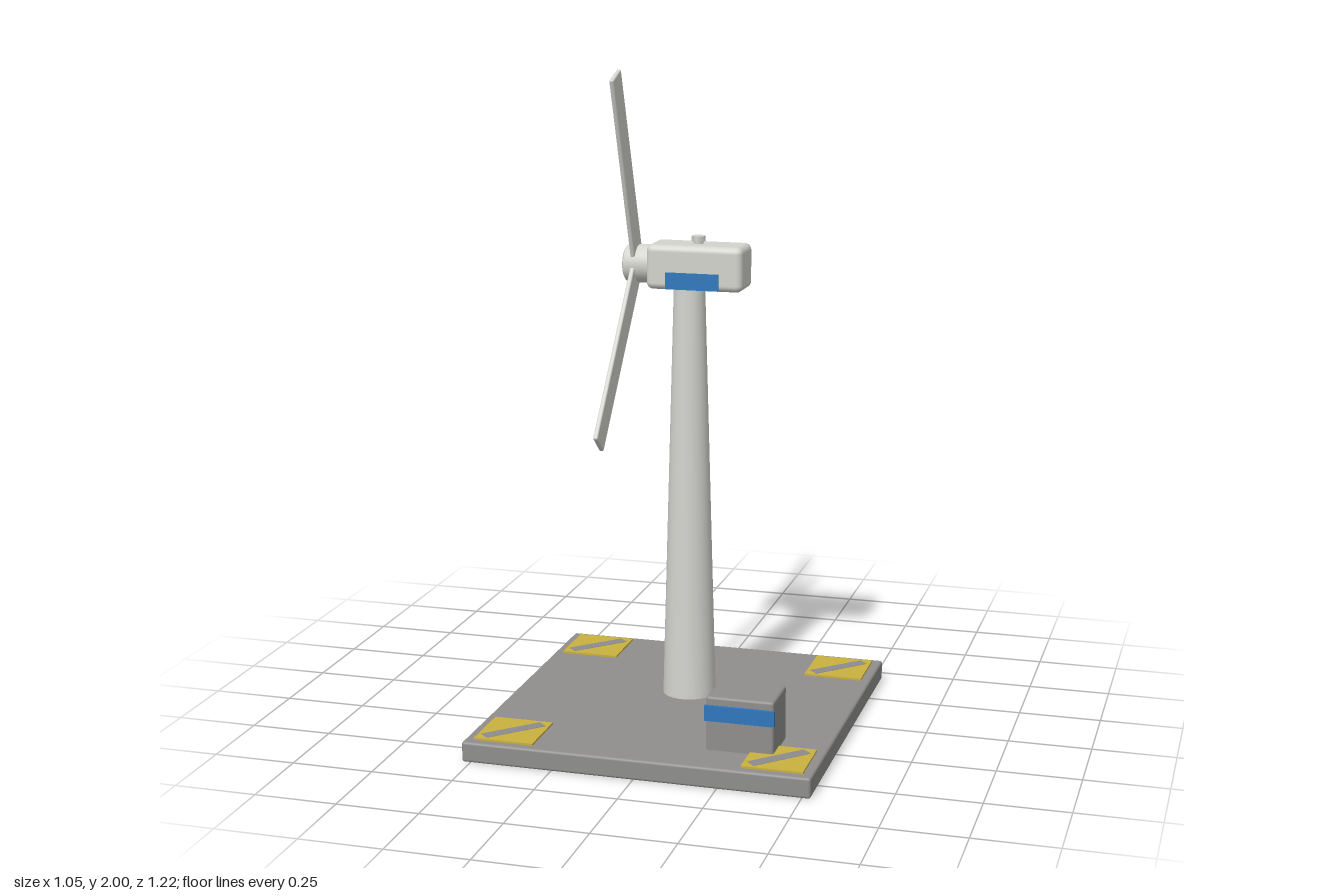
import * as THREE from 'three';
import { RoundedBoxGeometry } from 'three/addons/geometries/RoundedBoxGeometry.js';
import { toCreasedNormals } from 'three/addons/utils/BufferGeometryUtils.js';

const material = (name, color) => {
  const m = new THREE.MeshStandardMaterial({ color });
  m.name = name;
  return m;
};

export function createModel() {
  const white = material('offWhite', 0xd3d4ce);
  const grey = material('concreteGrey', 0x8f8e8c);
  const stripeGrey = material('stripeGrey', 0x8c8c90);
  const yellow = material('yellow', 0xc9b03e);
  const blue = material('blue', 0x2f78bd);

  const model = new THREE.Group();
  model.name = 'windTurbine';

  const add = (name, geometry, mat, x, y, z, parent = model) => {
    const mesh = new THREE.Mesh(geometry, mat);
    mesh.name = name;
    mesh.position.set(x, y, z);
    parent.add(mesh);
    return mesh;
  };
  const rounded = (w, h, d, r) => new RoundedBoxGeometry(w, h, d, 3, r);
  const turned = (points, sides) => toCreasedNormals(
    new THREE.LatheGeometry(points.map(([r, y]) => new THREE.Vector2(r, y)), sides), 0.6);

  // Base slab
  const baseZ = 0.081;
  add('base', rounded(1.052, 0.062, 1.052, 0.008), grey, 0, 0.031, baseZ);

  // Corner pads, each with a diagonal stripe
  for (const sx of [-1, 1]) {
    for (const sz of [-1, 1]) {
      const pad = new THREE.Group();
      pad.name = 'cornerPad';
      pad.position.set(sx * 0.406, 0.062, baseZ + sz * 0.407);
      add('padPlate', new THREE.BoxGeometry(0.183, 0.008, 0.183), yellow, 0, 0.002, 0, pad);
      const stripe = add('padStripe', new THREE.BoxGeometry(0.192, 0.002, 0.037), stripeGrey, 0, 0.006, 0, pad);
      stripe.rotation.y = Math.PI / 4;
      model.add(pad);
    }
  }

  // Tapered tower
  add('tower', new THREE.CylinderGeometry(0.047, 0.082, 1.3, 32), white, 0, 0.71, 0);

  // Nacelle with side plates and roof sensor
  const hubY = 1.408;
  add('nacelle', rounded(0.297, 0.135, 0.135, 0.02), white, 0.03, hubY, 0);
  for (const s of [-1, 1]) {
    add('nacellePlate', new THREE.BoxGeometry(0.163, 0.05, 0.009), blue, 0.027, 1.37, s * 0.07);
  }
  add('sensorStem', new THREE.CylinderGeometry(0.015, 0.015, 0.02, 6), white, 0.028, 1.478, 0);
  add('sensorCap', new THREE.CylinderGeometry(0.022, 0.022, 0.016, 6), white, 0.028, 1.491, 0);

  // Rotor: hub with its axis along x, and three flat blades
  const rotor = new THREE.Group();
  rotor.name = 'rotor';
  rotor.position.set(-0.163, hubY, 0);
  model.add(rotor);
  const hub = add('hub', turned([
    [0, -0.06], [0.058, -0.06], [0.058, 0.02], [0.055, 0.029], [0.047, 0.034], [0, 0.034],
  ], 32), white, 0, 0, 0, rotor);
  hub.rotation.z = Math.PI / 2;

  const bladeGeometry = rounded(0.014, 0.592, 0.08, 0.005);
  bladeGeometry.translate(0, 0.322, 0);
  for (let i = 0; i < 3; i++) {
    const blade = add('blade', bladeGeometry, white, 0, 0, 0, rotor);
    blade.rotation.x = THREE.MathUtils.degToRad(20 + i * 120);
  }

  // Transformer cabinet with a front band
  add('cabinet', rounded(0.202, 0.17, 0.158, 0.008), grey, 0.283, 0.14, 0.39);
  add('cabinetBand', new THREE.BoxGeometry(0.21, 0.047, 0.009), blue, 0.283, 0.177, 0.473);

  return model;
}
